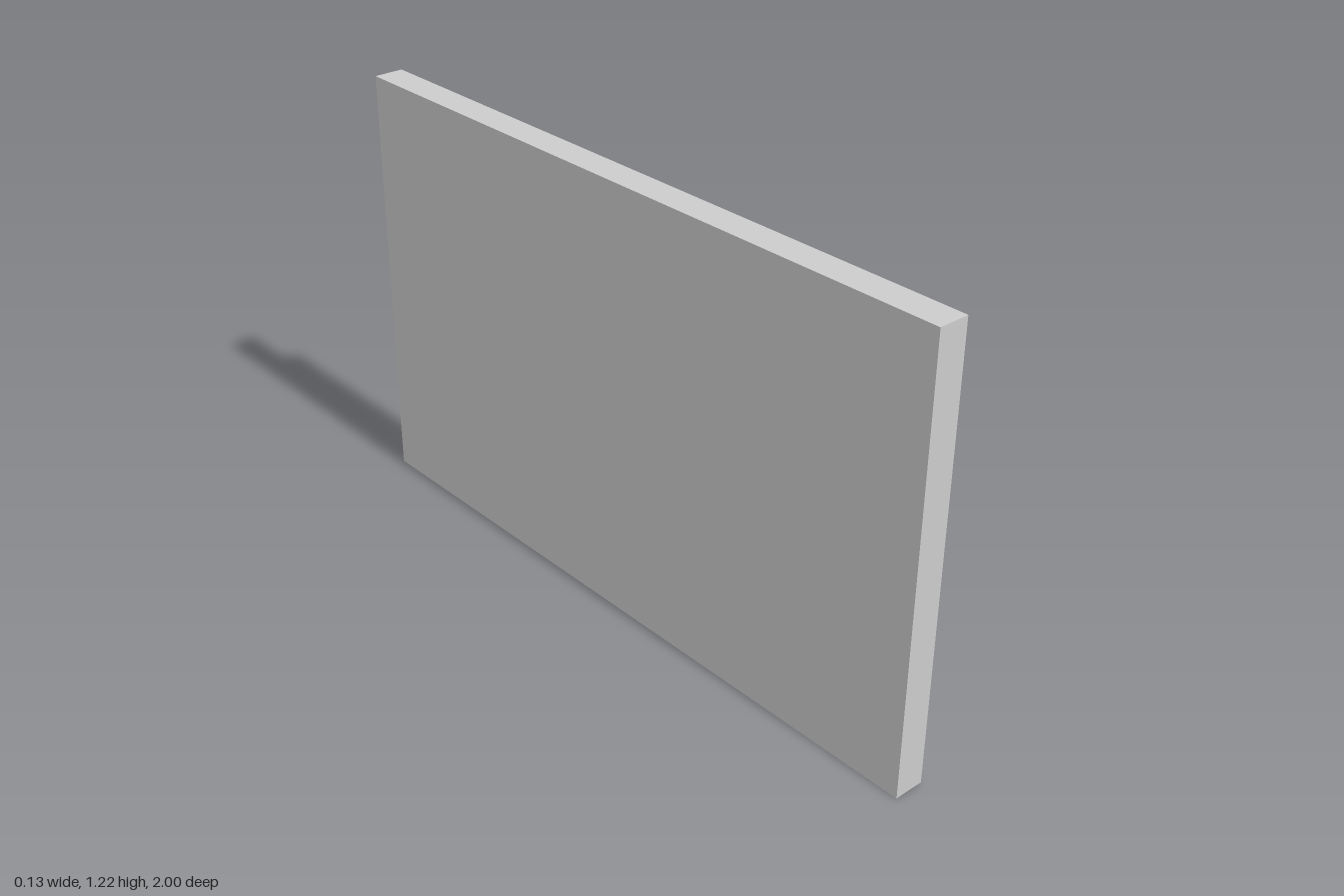
import * as THREE from 'three';

const FACE = 0.017;   // x of the slab face carrying the panels
const RAISED = 0.065; // x of the panel tops
const BACK = -0.068;
const HEIGHT = 1.222;
const Y0 = 0.668, Y1 = 1.1; // panel bottom and top
const FLARE = 0.045;
const STEPS = 10;

const material = new THREE.MeshStandardMaterial({ color: 0xcccccc });

// Concave flare: x is the outward offset, y the height along the model's x
const flare = new THREE.QuadraticBezierCurve(
  new THREE.Vector2(FLARE, FACE),
  new THREE.Vector2(0.022, FACE),
  new THREE.Vector2(0, RAISED)
).getPoints(STEPS);

// Rectangle corners, counter-clockwise as seen from +x
function ring(z0, z1, offset, x) {
  const a = Y0 - offset, b = Y1 + offset, c = z0 - offset, d = z1 + offset;
  return [[x, a, c], [x, b, c], [x, b, d], [x, a, d]];
}

// Four mitred sides, smooth along the flare and sharp at the corners
function flaredSides(z0, z1) {
  const positions = [], index = [];
  for (let side = 0; side < 4; side++) {
    const start = positions.length / 3;
    flare.forEach((p, i) => {
      const r = ring(z0, z1, p.x, p.y);
      positions.push(...r[side], ...r[(side + 1) % 4]);
      if (i < STEPS) {
        const a = start + i * 2;
        index.push(a, a + 1, a + 3, a, a + 3, a + 2);
      }
    });
  }
  const geometry = new THREE.BufferGeometry();
  geometry.setAttribute('position', new THREE.Float32BufferAttribute(positions, 3));
  geometry.setIndex(index);
  geometry.computeVertexNormals();
  return geometry;
}

function raisedPanel(z0, z1) {
  const panel = new THREE.Group();
  const sides = new THREE.Mesh(flaredSides(z0, z1), material);
  sides.name = 'panelFlare';
  const top = new THREE.Mesh(new THREE.PlaneGeometry(z1 - z0, Y1 - Y0), material);
  top.name = 'panelFace';
  top.rotation.y = Math.PI / 2;
  top.position.set(RAISED, (Y0 + Y1) / 2, (z0 + z1) / 2);
  panel.add(sides, top);
  return panel;
}

export function createModel() {
  const model = new THREE.Group();
  model.name = 'panelledWall';

  // Flat slab
  const slab = new THREE.Mesh(new THREE.BoxGeometry(FACE - BACK, HEIGHT, 2), material);
  slab.name = 'slab';
  slab.position.set((FACE + BACK) / 2, HEIGHT / 2, 0);
  model.add(slab);

  // Three raised panels of different widths
  [[0.525, 0.885], [-0.14, 0.285], [-0.875, -0.385]].forEach(([z0, z1], i) => {
    const panel = raisedPanel(z0, z1);
    panel.name = `raisedPanel${i + 1}`;
    model.add(panel);
  });
  return model;
}
